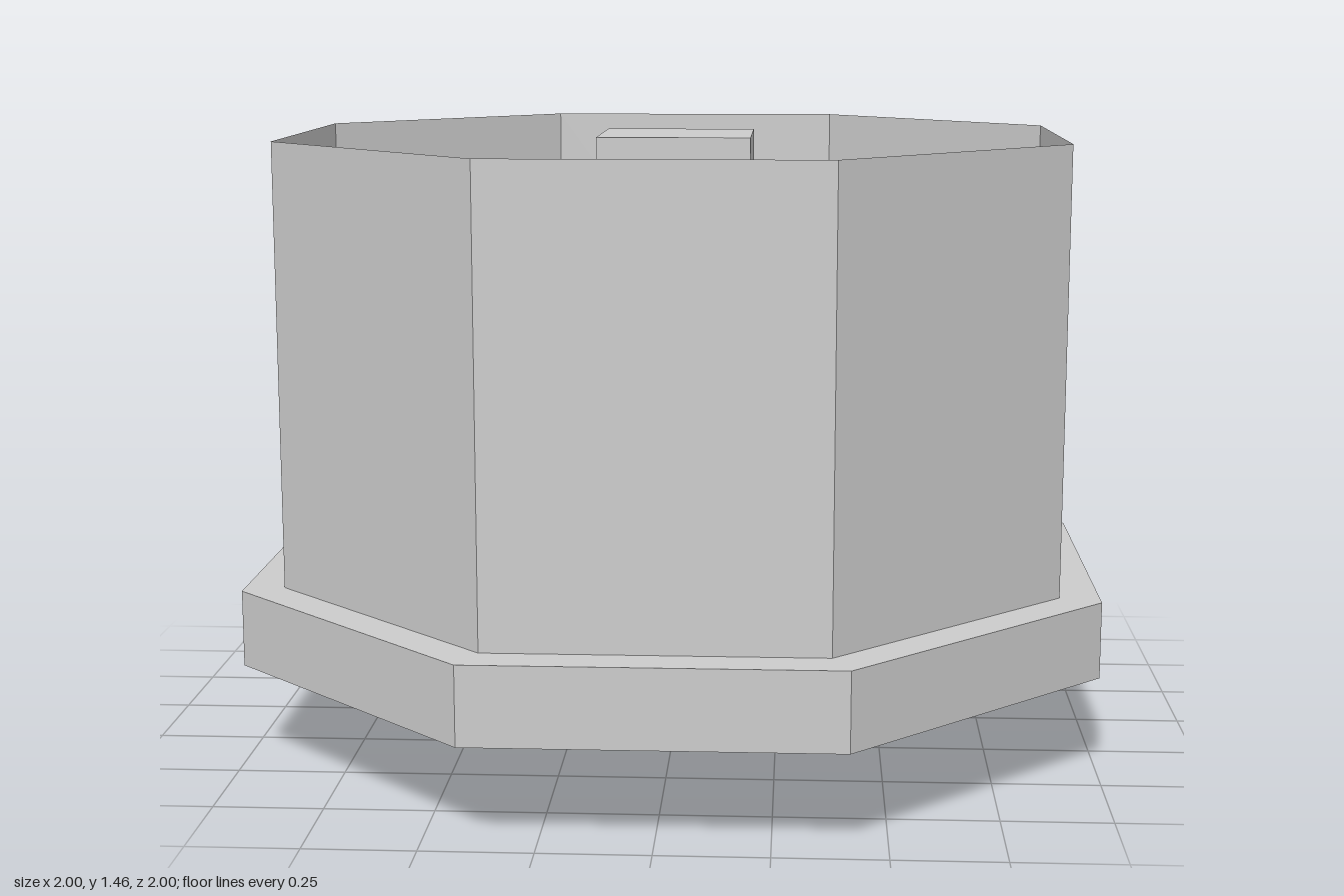
import * as THREE from 'three';

export function createModel() {
  const group = new THREE.Group();
  const grey = new THREE.MeshStandardMaterial({ color: 0xcccccc, flatShading: true });
  const thin = new THREE.MeshStandardMaterial({ color: 0xcccccc, flatShading: true, side: THREE.DoubleSide });

  function add(name, geometry, y0, y1, material = grey) {
    const mesh = new THREE.Mesh(geometry, material);
    mesh.name = name;
    mesh.position.y = (y0 + y1) / 2;
    group.add(mesh);
  }

  // Octagonal prism with flat sides facing the axes; apothem is the distance to a flat
  function octagon(name, apothem, y0, y1, open = false) {
    const r = apothem / Math.cos(Math.PI / 8);
    const geometry = new THREE.CylinderGeometry(r, r, y1 - y0, 8, 1, open, Math.PI / 8);
    add(name, geometry, y0, y1, open ? thin : grey);
  }

  // Square block, upright and centred
  function block(name, half, y0, y1) {
    add(name, new THREE.BoxGeometry(half * 2, y1 - y0, half * 2), y0, y1);
  }

  // Base flange with the square plate below it
  octagon('flange', 1, 0.23, 0.41);
  block('bottomPlate', 0.634, 0.186, 0.23);

  // Thin open-topped wall, inner step and the central post running through
  octagon('wall', 0.907, 0.41, 1.456, true);
  octagon('innerStep', 0.528, 0.41, 0.5);
  block('centrePost', 0.181, 0, 1.456);

  return group;
}
